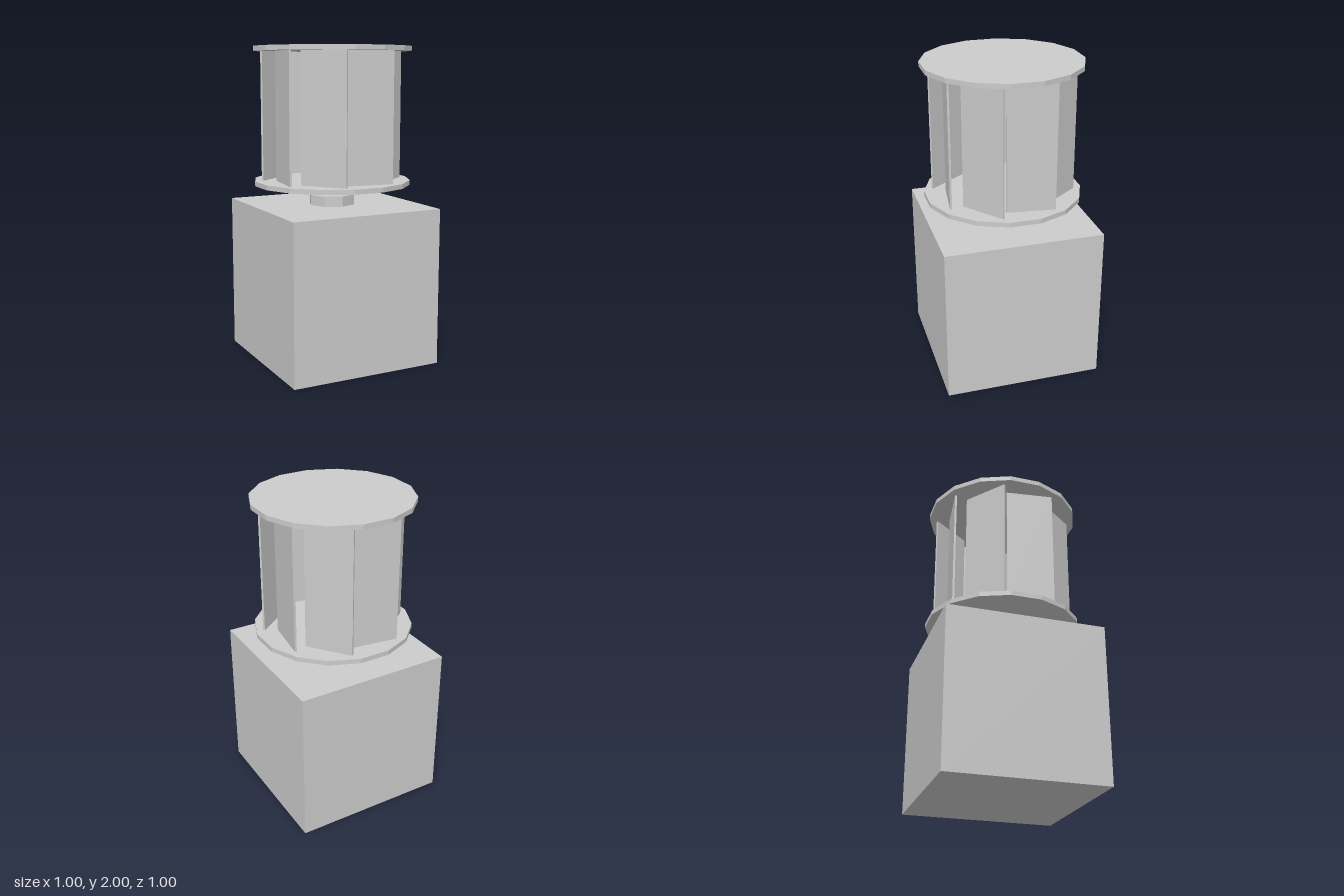
import * as THREE from 'three';

export function createModel() {
  const model = new THREE.Group();
  model.name = 'roofVentilator';
  const material = new THREE.MeshStandardMaterial({ color: 0xcccccc, flatShading: true });

  function add(name, geometry, y, parent = model) {
    const mesh = new THREE.Mesh(geometry, material);
    mesh.name = name;
    mesh.position.y = y;
    parent.add(mesh);
    return mesh;
  }

  // Upright faceted cylinder from y0 to y1; flat turns a side, not a corner, to the front
  function disc(name, radius, y0, y1, sides, flat) {
    const geometry = new THREE.CylinderGeometry(radius, radius, y1 - y0, sides);
    if (flat) geometry.rotateY(Math.PI / sides);
    return add(name, geometry, (y0 + y1) / 2);
  }

  // Cubic base
  add('base', new THREE.BoxGeometry(1, 1, 1), 0.5);

  // Bearing and shaft under the rotor
  disc('bearing', 0.15, 1, 1.065, 8, false);
  disc('shaft', 0.0625, 1.065, 1.13, 8, true);

  // Rotor end plates
  disc('lowerPlate', 0.5, 1.13, 1.16, 16, true);
  disc('upperPlate', 0.5, 1.97, 2, 16, true);

  // Eight angled blades between the plates
  const blades = new THREE.Group();
  blades.name = 'blades';
  model.add(blades);
  const bladeGeometry = new THREE.BoxGeometry(0.303, 0.81, 0.0125);
  bladeGeometry.rotateY(-0.134);
  bladeGeometry.translate(0.071, 0, 0.368);
  for (let i = 0; i < 8; i++) {
    add('blade', bladeGeometry, 1.565, blades).rotation.y = (i * Math.PI) / 4;
  }

  return model;
}
